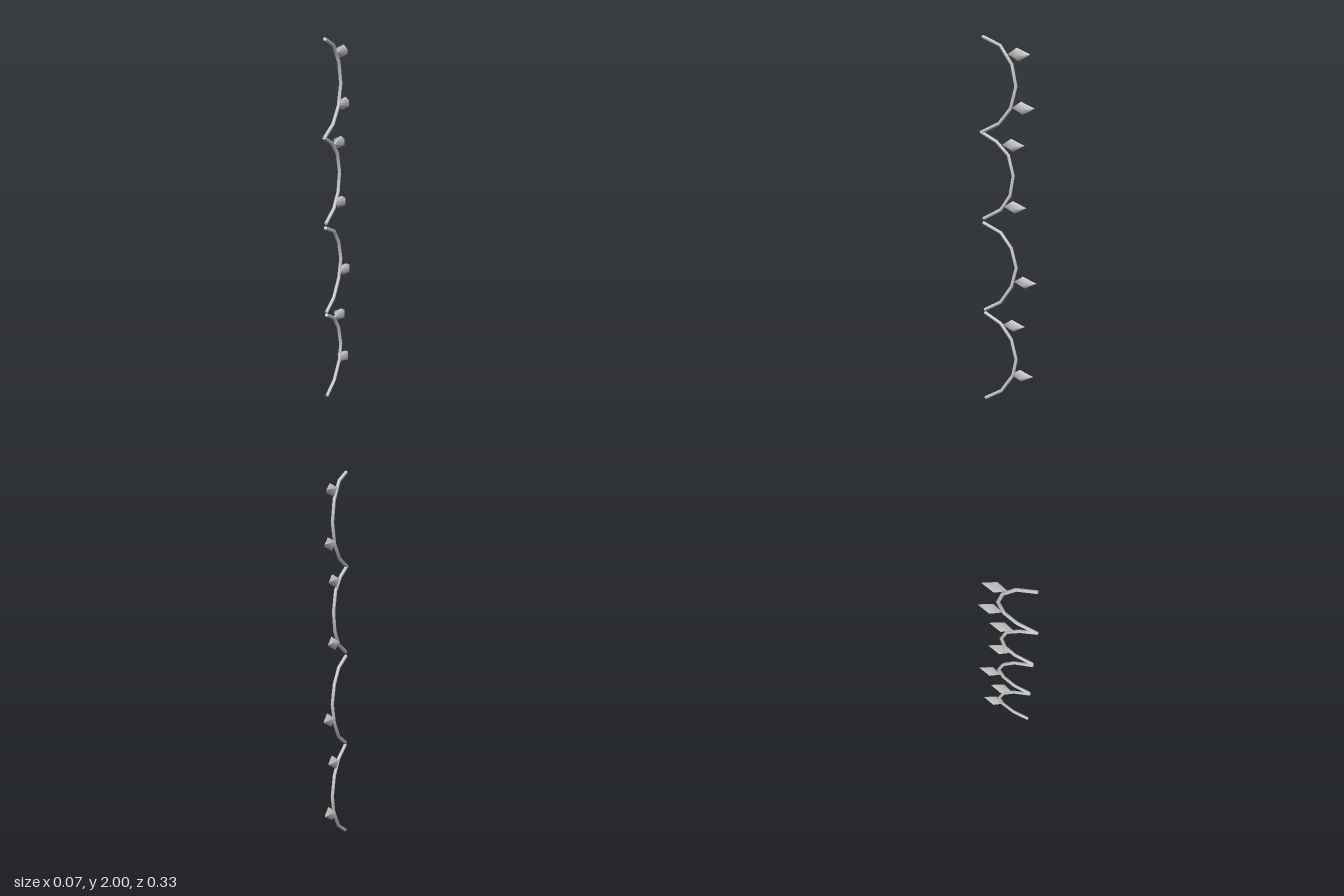
import * as THREE from 'three';

const grey = new THREE.MeshStandardMaterial({ color: 0xcccccc });
const WIRE_RADIUS = 0.0095;

// Straight-segment path in the x = 0 plane, sampled by point index for mitred bends
class Polyline extends THREE.Curve {
  constructor(points) {
    super();
    this.points = points.map(([z, y]) => new THREE.Vector3(0, y, z));
  }
  getPoint(t, target = new THREE.Vector3()) {
    const last = this.points.length - 1;
    const i = Math.min(Math.floor(t * last + 1e-9), last - 1);
    return target.lerpVectors(this.points[i], this.points[i + 1], t * last - i);
  }
  getPointAt(t, target) { return this.getPoint(t, target); }
  getTangentAt(t, target) { return this.getTangent(t, target); }
}

// One sagging length of wire with closed ends
function createWire(points) {
  const wire = new THREE.Group();
  wire.name = 'wireSwag';
  const path = new Polyline(points);
  const tube = new THREE.Mesh(new THREE.TubeGeometry(path, points.length - 1, WIRE_RADIUS, 8), grey);
  tube.name = 'wire';
  wire.add(tube);
  for (const t of [0, 1]) {
    const cap = new THREE.Mesh(new THREE.CircleGeometry(WIRE_RADIUS, 8), grey);
    cap.name = 'wireEnd';
    const outward = path.getTangent(t).multiplyScalar(t ? 1 : -1);
    cap.quaternion.setFromUnitVectors(new THREE.Vector3(0, 0, 1), outward);
    cap.position.copy(path.getPoint(t));
    wire.add(cap);
  }
  return wire;
}

// Four-sided pointed bulb, its front tip at the origin and its long axis along -z
function createBulbGeometry() {
  const profile = [[0, -0.131], [0.036, -0.058], [0, 0]].map(([r, d]) => new THREE.Vector2(r, d));
  const bulb = new THREE.LatheGeometry(profile, 4);
  bulb.rotateX(Math.PI / 2);
  bulb.rotateZ(THREE.MathUtils.degToRad(-20));
  bulb.scale(0.97, 1.06, 1);
  return bulb;
}

export function createModel() {
  const model = new THREE.Group();
  model.name = 'stringOfLights';

  // Wire swags from top to bottom, as [z, y]
  const swags = [
    [[0.148, 1.99], [0.046, 1.943], [-0.02, 1.845], [-0.044, 1.73], [-0.014, 1.615], [0.053, 1.533], [0.16, 1.482]],
    [[0.16, 1.486], [0.068, 1.436], [0, 1.367], [-0.029, 1.257], [-0.011, 1.15], [0.044, 1.07], [0.145, 1.016]],
    [[0.148, 0.995], [0.043, 0.945], [-0.018, 0.865], [-0.047, 0.76], [-0.02, 0.655], [0.045, 0.562], [0.14, 0.511]],
    [[0.14, 0.497], [0.045, 0.443], [-0.018, 0.36], [-0.047, 0.25], [-0.028, 0.158], [0.04, 0.063], [0.136, 0.01]],
  ];
  for (const points of swags) model.add(createWire(points));

  // Bulbs hanging behind the wire, front tip as [z, y]
  const bulbGeometry = createBulbGeometry();
  const tips = [[0.005, 1.897], [-0.02, 1.617], [0.037, 1.42], [0.026, 1.088], [-0.033, 0.682], [0.032, 0.437], [-0.016, 0.162]];
  for (const [z, y] of tips) {
    const bulb = new THREE.Mesh(bulbGeometry, grey);
    bulb.name = 'bulb';
    bulb.position.set(0, y, z);
    model.add(bulb);
  }
  return model;
}
